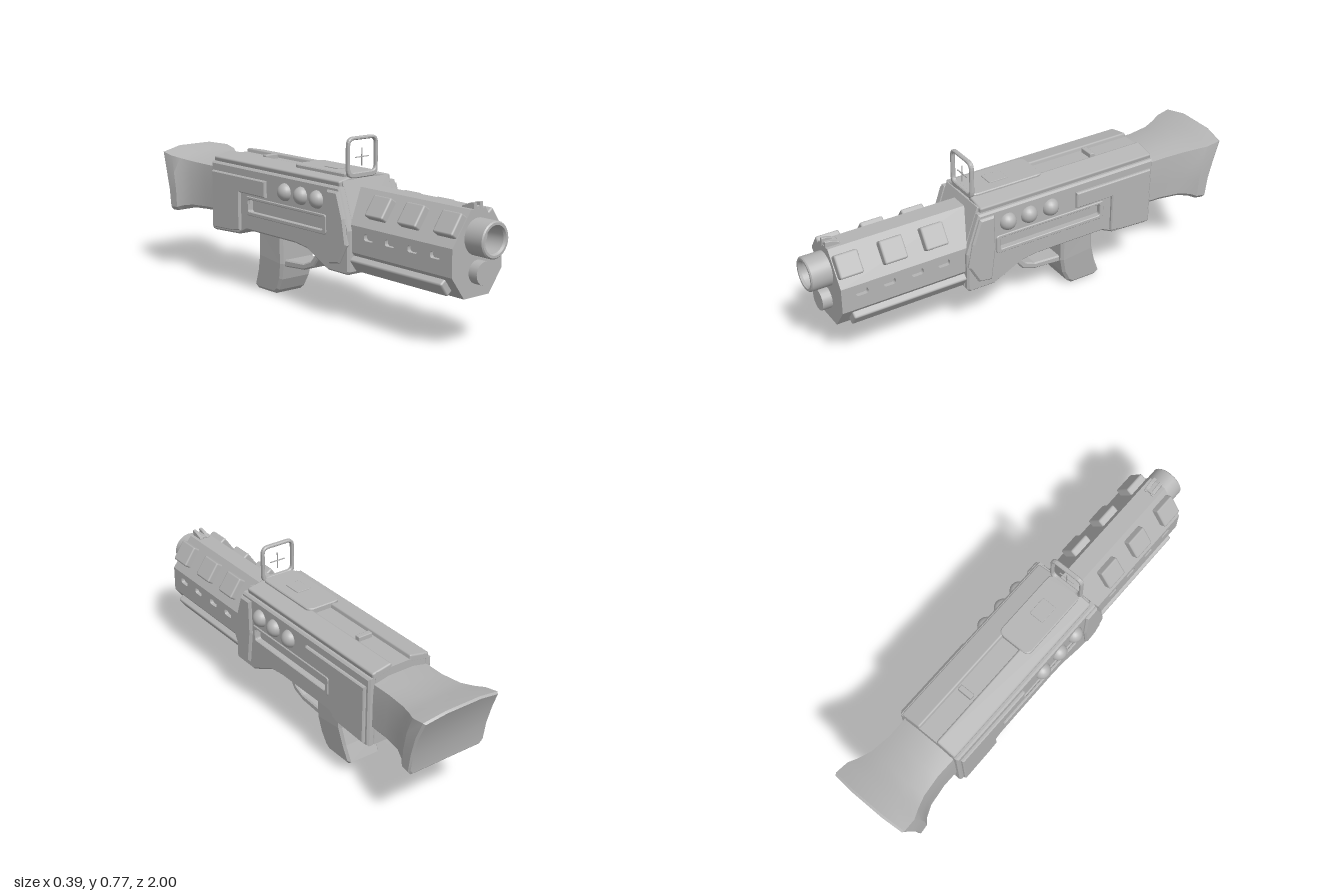
import * as THREE from 'three';
import { toCreasedNormals } from 'three/addons/utils/BufferGeometryUtils.js';
import { RoundedBoxGeometry } from 'three/addons/geometries/RoundedBoxGeometry.js';

const grey = new THREE.MeshStandardMaterial({ color: 0xb4b4b4 });
grey.name = 'plain grey';

const toShape = (pts) => new THREE.Shape(pts.map(([a, b]) => new THREE.Vector2(a, b)));

// rounded rectangle used for outlines and holes
function roundRect(Type, cx, cy, w, h, r) {
  const s = new Type(), x = cx - w / 2, y = cy - h / 2;
  s.moveTo(x + r, y);
  s.lineTo(x + w - r, y).quadraticCurveTo(x + w, y, x + w, y + r);
  s.lineTo(x + w, y + h - r).quadraticCurveTo(x + w, y + h, x + w - r, y + h);
  s.lineTo(x + r, y + h).quadraticCurveTo(x, y + h, x, y + h - r);
  s.lineTo(x, y + r).quadraticCurveTo(x, y, x + r, y);
  return s;
}

// extrusion along z centred on the origin; width includes the bevel
function slab(shape, width, bevel = 0.006) {
  const g = new THREE.ExtrudeGeometry(shape, {
    depth: width - 2 * bevel, bevelEnabled: bevel > 0, bevelSize: bevel, bevelThickness: bevel,
    bevelOffset: -bevel, bevelSegments: 1, curveSegments: 5,
  });
  return g.translate(0, 0, bevel - width / 2);
}

// a (z, y) outline extruded across x
const sideSlab = (shape, width, bevel) => slab(shape, width, bevel).rotateY(-Math.PI / 2);

// skin over matching rings that advance towards -z; rings are left-right symmetric
function loft(rings) {
  const n = rings[0].length, idx = [], last = (rings.length - 1) * n;
  for (let r = 0; r < rings.length - 1; r++) {
    for (let i = 0; i < n; i++) {
      const a = r * n + i, b = r * n + (i + 1) % n;
      idx.push(a, a + n, b + n, a, b + n, b);
    }
  }
  for (let i = 0; i < n / 2 - 1; i++) {
    const a = i, b = i + 1, c = n - 2 - i, d = n - 1 - i;
    idx.push(a, b, c, a, c, d, last + a, last + c, last + b, last + a, last + d, last + c);
  }
  const g = new THREE.BufferGeometry();
  g.setAttribute('position', new THREE.Float32BufferAttribute(rings.flat(2), 3));
  g.setIndex(idx);
  g.computeVertexNormals();
  return toCreasedNormals(g, 0.45);
}

export function createModel() {
  const model = new THREE.Group();
  const add = (name, geo, x = 0, y = 0, z = 0, rz = 0) => {
    const m = new THREE.Mesh(geo, grey);
    m.name = name;
    m.position.set(x, y, z);
    m.rotation.z = rz;
    model.add(m);
    return m;
  };
  const box = (w, h, d, r = 0.008) => new RoundedBoxGeometry(w, h, d, 1, r);

  // barrel with open bore, and the tube below it
  const barrel = [[0, 0.905], [0.054, 0.905], [0.054, 0.99], [0.06, 1], [0.07, 1], [0.075, 0.995], [0.075, 0.88]]
    .map(([r, z]) => new THREE.Vector2(r, z)).reverse();
  add('barrel', toCreasedNormals(new THREE.LatheGeometry(barrel, 28).rotateX(Math.PI / 2), 0.5), 0, 0.455, 0)
    .material = grey;
  add('lowerTube', new THREE.CylinderGeometry(0.048, 0.048, 0.07, 20).rotateX(Math.PI / 2), 0, 0.315, 0.915);

  // octagonal shroud, stepped in where the slotted side plates sit
  const half = [[0.07, 0.215], [0.14, 0.31], [0.122, 0.312], [0.122, 0.423], [0.14, 0.425], [0.04, 0.565]];
  const octagon = [...half, ...half.map(([x, y]) => [-x, y]).reverse()];
  add('shroud', slab(toShape(octagon), 0.63, 0), 0, 0, 0.592);

  // front sight
  for (const s of [-1, 1]) {
    add('frontSight', sideSlab(toShape([[0.84, 0.555], [0.908, 0.555], [0.908, 0.59], [0.885, 0.588], [0.84, 0.57]]), 0.016, 0.002), s * 0.017);
  }
  add('frontSightBase', box(0.05, 0.02, 0.06, 0.003), 0, 0.565, 0.875);

  // receiver core outline, (z, y)
  const outline = [[0.325, 0.212], [0.2, 0.212], [0.13, 0.245], [0.06, 0.28], [-0.02, 0.29], [-0.36, 0.29],
    [-0.42, 0.262], [-0.6, 0.252], [-0.625, 0.255]];
  add('receiverCore', sideSlab(toShape([...outline, [-0.625, 0.597], [0.265, 0.597], [0.335, 0.4], [0.335, 0.225]].reverse()), 0.26, 0.004));

  for (const s of [-1, 1]) {
    // shroud side plate with vent slots
    const plate = toShape([[0.28, 0.31], [0.907, 0.31], [0.907, 0.425], [0.28, 0.425]]);
    for (const z of [0.815, 0.69, 0.56, 0.435]) plate.holes.push(roundRect(THREE.Path, z, 0.385, 0.055, 0.028, 0.012));
    add('ventPlate', sideSlab(plate, 0.02, 0), s * 0.13);

    // raised pads on the upper slopes and long strips on the lower slopes
    for (const z of [0.85, 0.65, 0.46]) {
      add('shroudPad', box(0.1, 0.042, 0.105), s * 0.097, 0.506, z, -s * 0.967);
    }
    add('lowerStrip', box(0.068, 0.05, 0.55), s * 0.112, 0.264, 0.585, s * 0.936);

    // receiver side wall with the long recess
    const wall = toShape([...outline, [-0.625, 0.575], [0.275, 0.575], [0.335, 0.4], [0.335, 0.225]].reverse());
    wall.holes.push(roundRect(THREE.Path, -0.083, 0.407, 0.53, 0.065, 0.012));
    add('receiverWall', sideSlab(wall, 0.036, 0.008), s * 0.142);
    const rim = roundRect(THREE.Shape, -0.083, 0.405, 0.555, 0.087, 0.015);
    rim.holes.push(roundRect(THREE.Path, -0.083, 0.407, 0.515, 0.055, 0.01));
    add('recessRim', sideSlab(rim, 0.012, 0.003), s * 0.159);

    // collar cheek at the front of the receiver
    add('collarCheek', sideSlab(toShape([[0.22, 0.245], [0.285, 0.255], [0.333, 0.34], [0.312, 0.45], [0.275, 0.558], [0.205, 0.558], [0.2, 0.4]]), 0.03, 0.008), s * 0.158);

    // raised rear panel
    add('rearPanel', sideSlab(toShape([[-0.4, 0.285], [-0.4, 0.46], [-0.21, 0.46], [-0.21, 0.535], [-0.607, 0.535], [-0.607, 0.268], [-0.45, 0.275]].reverse()), 0.025, 0.005), s * 0.161);

    // round studs
    for (const z of [0.135, 0.03, -0.08]) add('sideStud', new THREE.SphereGeometry(0.04, 20, 14), s * 0.155, 0.505, z);

    // sloping top rail
    add('topRail', box(0.1, 0.034, 0.885), s * 0.094, 0.589, -0.183, -s * 0.2);
  }
  add('topTab', box(0.07, 0.025, 0.026, 0.004), 0, 0.605, -0.385);

  // sight base, frame and crosshair, set slightly off centre
  const sx = -0.013;
  const base = roundRect(THREE.Shape, 0, 0, 0.165, 0.35, 0.03);
  add('sightBase', slab(base, 0.04, 0.004).rotateX(-Math.PI / 2), sx, 0.602, 0.075);
  add('sightButton', box(0.07, 0.01, 0.09, 0.002), sx, 0.621, 0.095);
  const frame = roundRect(THREE.Shape, 0, 0.6875, 0.17, 0.175, 0.035);
  frame.holes.push(roundRect(THREE.Path, 0, 0.6925, 0.142, 0.137, 0.022));
  add('sightFrame', slab(frame, 0.02, 0.004), sx, 0, 0.252);
  add('crosshairBar', new THREE.BoxGeometry(0.076, 0.004, 0.004), sx, 0.687, 0.252);
  add('crosshairPost', new THREE.BoxGeometry(0.004, 0.076, 0.004), sx, 0.687, 0.252);

  // flared stock: [z top, z bottom, y top, y bottom, half width, hollow]
  const section = [[0.92, 0], [1, 0.06], [1, 0.35], [1, 0.65], [0.97, 0.93], [0.45, 1]];
  const ring = [...section, ...section.map(([u, v]) => [-u, v]).reverse()];
  const stations = [
    [-0.6, -0.6, 0.56, 0.335, 0.14, 0], [-0.72, -0.7, 0.56, 0.33, 0.138, 0], [-0.82, -0.8, 0.565, 0.325, 0.15, 0.005],
    [-0.88, -0.85, 0.575, 0.315, 0.17, 0.01], [-0.925, -0.875, 0.585, 0.305, 0.19, 0.015],
    [-0.99, -0.915, 0.598, 0.3, 0.194, 0.015], [-1, -0.922, 0.592, 0.308, 0.187, 0.015]];
  add('stock', loft(stations.map(([zt, zb, yt, yb, w, h]) => ring.map(([u, v]) =>
    [u * w, yb + (yt - yb) * v, zb + (zt - zb) * v + 4 * h * v * (1 - v)]))));

  // grip, narrowing towards its foot
  const grip = sideSlab(toShape([[-0.26, 0], [-0.39, 0], [-0.41, 0.015], [-0.38, 0.09], [-0.358, 0.17], [-0.352, 0.3],
    [-0.188, 0.3], [-0.19, 0.15], [-0.207, 0.075], [-0.235, 0.02]].reverse()), 0.2, 0.012);
  const p = grip.attributes.position;
  for (let i = 0; i < p.count; i++) p.setX(i, p.getX(i) * (0.8 + Math.min(p.getY(i), 0.21) * 0.95));
  grip.computeVertexNormals();
  add('grip', grip);

  // trigger guard
  add('triggerGuard', sideSlab(toShape([[0.085, 0.28], [0.055, 0.235], [0.005, 0.17], [-0.06, 0.147], [-0.2, 0.136],
    [-0.2, 0.168], [-0.06, 0.176], [-0.012, 0.196], [0.025, 0.24], [0.04, 0.29]]), 0.15, 0.006));

  return model;
}
